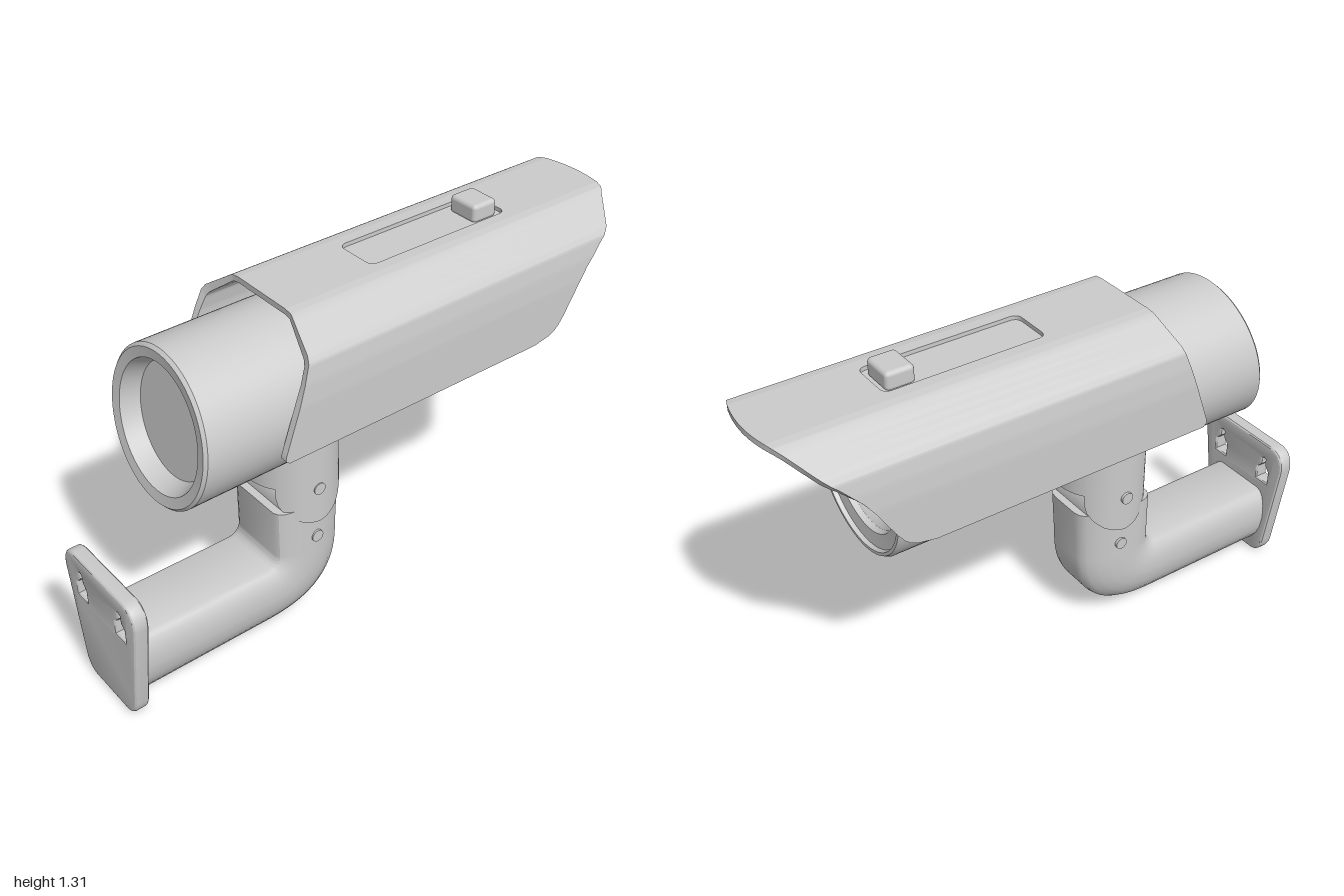
import * as THREE from 'three';
import { toCreasedNormals } from 'three/addons/utils/BufferGeometryUtils.js';
import { RoundedBoxGeometry } from 'three/addons/geometries/RoundedBoxGeometry.js';

const grey = new THREE.MeshStandardMaterial({ color: 0xcccccc });
const lerp = THREE.MathUtils.lerp;

function add(group, name, geometry, x = 0, y = 0, z = 0) {
  const mesh = new THREE.Mesh(geometry, grey);
  mesh.name = name;
  mesh.position.set(x, y, z);
  group.add(mesh);
  return mesh;
}

// Skins a list of closed rings of points; ends are capped unless looped
function loft(rings, loop = false, crease = 0.6) {
  const tris = [];
  const n = rings[0].length;
  const count = loop ? rings.length : rings.length - 1;
  for (let i = 0; i < count; i++) {
    const a = rings[i], b = rings[(i + 1) % rings.length];
    for (let j = 0; j < n; j++) {
      const k = (j + 1) % n;
      tris.push([a[j], b[j], b[k]], [a[j], b[k], a[k]]);
    }
  }
  if (!loop) {
    const a = rings[0], b = rings[rings.length - 1];
    for (let j = 1; j < n - 1; j++) tris.push([a[0], a[j], a[j + 1]], [b[0], b[j + 1], b[j]]);
  }
  // Turn the faces outward whichever way the rings run
  let volume = 0;
  for (const [p, q, r] of tris) volume += p.dot(q.clone().cross(r));
  if (volume < 0) tris.forEach((t) => t.reverse());
  const g = new THREE.BufferGeometry().setFromPoints(tris.flat());
  g.computeVertexNormals();
  return toCreasedNormals(g, crease);
}

// Piecewise linear lookup in [[in, out], ...]
function lookup(knots, v) {
  for (let i = 1; i < knots.length; i++) {
    const [a, fa] = knots[i - 1], [b, fb] = knots[i];
    if (v <= b) return lerp(fa, fb, Math.max(0, (v - a) / (b - a)));
  }
  return knots[knots.length - 1][1];
}

function roundedRect(path, x0, y0, x1, y1, r) {
  path.moveTo(x0 + r, y0);
  path.lineTo(x1 - r, y0); path.quadraticCurveTo(x1, y0, x1, y0 + r);
  path.lineTo(x1, y1 - r); path.quadraticCurveTo(x1, y1, x1 - r, y1);
  path.lineTo(x0 + r, y1); path.quadraticCurveTo(x0, y1, x0, y1 - r);
  path.lineTo(x0, y0 + r); path.quadraticCurveTo(x0, y0, x0 + r, y0);
  return path;
}

// Housing: rear recess, barrel with seam, front rim and stepped lens as [radius, x]
function housingGeometry() {
  const profile = [
    [0, -0.675], [0.19, -0.675], [0.215, -0.735], [0.25, -0.74], [0.26, -0.73],
    [0.26, 0.228], [0.25, 0.23], [0.25, 0.242], [0.26, 0.244], [0.26, 0.65], [0.253, 0.665],
    [0.242, 0.665], [0.238, 0.65], [0.19, 0.645], [0.184, 0.625], [0.165, 0.61], [0.15, 0.575],
    [0.137, 0.555], [0.135, 0.54], [0.115, 0.53], [0.11, 0.505], [0.092, 0.495],
    [0.088, 0.475], [0.07, 0.468], [0.065, 0.455], [0, 0.455],
  ].map(([r, x]) => new THREE.Vector2(r, x));
  const g = new THREE.LatheGeometry(profile, 72).rotateZ(-Math.PI / 2);
  // Slant the rear end
  const p = g.attributes.position;
  for (let i = 0; i < p.count; i++) {
    if (p.getX(i) < -0.5) p.setX(i, p.getX(i) + p.getY(i) * 0.135);
  }
  g.computeVertexNormals();
  return toCreasedNormals(g, 0.5);
}

// One folded side of the sunshield, s = +1 or -1
function shieldSideGeometry(s) {
  // outer z, outer y, inner z, inner y
  const keys = [
    [0.291, 0.86, 0.267, 0.86], [0.291, 1.04, 0.267, 1.04], [0.286, 1.11, 0.264, 1.1],
    [0.277, 1.168, 0.255, 1.15], [0.262, 1.188, 0.243, 1.168], [0.15, 1.264, 0.143, 1.244],
    [0.12, 1.268, 0.12, 1.248],
  ];
  const front = [
    [0.86, 0.56], [0.87, 0.62], [0.89, 0.66], [0.93, 0.69], [0.98, 0.72], [1.03, 0.75],
    [1.08, 0.785], [1.15, 0.85], [1.2, 0.905], [1.25, 0.958], [1.264, 0.975], [1.268, 0.985],
  ];
  const rear = [[0.86, -0.465], [0.875, -0.48], [1.268, -0.34]];
  const rings = [];
  for (let i = 0; i < keys.length - 1; i++) {
    const steps = i === 0 ? 14 : 5;
    for (let j = i ? 1 : 0; j <= steps; j++) {
      const [zo, yo, zi, yi] = keys[i].map((v, k) => lerp(v, keys[i + 1][k], j / steps));
      const x0 = lookup(rear, yo), x1 = lookup(front, yo);
      rings.push([[x0, yo, zo], [x1, yo, zo], [x1, yi, zi], [x0, yi, zi]]
        .map(([x, y, z]) => new THREE.Vector3(x, y, z * s)));
    }
  }
  return loft(rings);
}

// Flat top of the sunshield with the slider slot
function shieldTopGeometry() {
  const shape = new THREE.Shape();
  shape.moveTo(-0.34, -0.12);
  shape.lineTo(0.985, -0.12);
  shape.quadraticCurveTo(1.015, 0, 0.985, 0.12);
  shape.lineTo(-0.34, 0.12);
  shape.holes.push(roundedRect(new THREE.Path(), 0.02, -0.08, 0.59, 0.08, 0.03));
  return new THREE.ExtrudeGeometry(shape, { depth: 0.02, bevelEnabled: false, curveSegments: 10 })
    .rotateX(-Math.PI / 2);
}

// Collar: hollow tube whose lower edge drops into a rounded lug on each side
function collarGeometry() {
  const edge = [[0, 0.445], [0.04, 0.452], [0.08, 0.47], [0.11, 0.5], [0.125, 0.53], [0.1295, 0.56]];
  const quarter = [0, 8, 16, 24, 31, 36.9, 37.3, 40, 45, 50, 56, 62, 68, 74, 80, 85];
  const degrees = [...quarter, 90, ...quarter.slice(1).reverse().map((d) => 180 - d)];
  const rings = [...degrees, ...degrees.map((d) => d + 180)].map((d) => {
    const t = THREE.MathUtils.degToRad(d), c = Math.cos(t), s = Math.sin(t);
    const dx = Math.abs(c) * 0.163;
    const low = dx > 0.1299 ? 0.6 : lookup(edge, dx);
    return [[0.163, 0.76], [0.163, low], [0.133, low], [0.133, 0.76]]
      .map(([r, y]) => new THREE.Vector3(r * c, y, r * s));
  });
  return loft(rings, true);
}

// Arm: section swept from the wall round the elbow and up
function armGeometry() {
  // [fraction from inner to outer wall, half width]
  const half = [[0, 0.1], [0.03, 0.118], [0.1, 0.132], [0.25, 0.142], [0.45, 0.145], [0.65, 0.137],
    [0.8, 0.122], [0.92, 0.1], [0.98, 0.08], [1, 0.055]];
  const section = [...half, ...half.map(([u, w]) => [u, -w]).reverse()];
  const stations = [[-0.96, 0.295, -0.96, 0.04], [-0.7, 0.293, -0.7, 0.04]]; // inner x,y  outer x,y
  for (let i = 0; i <= 18; i++) {
    const a = (i / 18) * Math.PI / 2, s = Math.sin(a), c = Math.cos(a);
    const bulge = 1 + 0.07 * Math.sin(2 * a) ** 2;
    stations.push([-0.44 + 0.04 * s, 0.33 - 0.04 * c, -0.44 + 0.315 * s * bulge, 0.33 - 0.29 * c * bulge]);
  }
  stations.push([-0.4, 0.51, -0.115, 0.51]);
  const rings = stations.map(([xi, yi, xo, yo]) => section.map(([u, z]) =>
    new THREE.Vector3(lerp(xi, xo, u), lerp(yi, yo, u), z)));
  return loft(rings, false, 0.5);
}

// Wall plate: tapered, with two keyholes
function plateGeometry() {
  const bevel = 0.012;
  const shape = new THREE.Shape();
  shape.moveTo(-0.09, bevel);
  shape.lineTo(0.09, bevel);
  shape.quadraticCurveTo(0.135, bevel, 0.144, 0.07);
  shape.lineTo(0.197, 0.42);
  shape.quadraticCurveTo(0.2, 0.49, 0.14, 0.49);
  shape.lineTo(-0.14, 0.49);
  shape.quadraticCurveTo(-0.2, 0.49, -0.197, 0.42);
  shape.lineTo(-0.144, 0.07);
  shape.quadraticCurveTo(-0.135, bevel, -0.09, bevel);
  for (const s of [1, -1]) {
    const keyhole = [[-0.038, 0.325], [0.038, 0.325], [0.038, 0.39], [0.02, 0.41], [0.018, 0.44],
      [0, 0.452], [-0.018, 0.44], [-0.02, 0.41], [-0.038, 0.39]];
    shape.holes.push(new THREE.Path(keyhole.map(([x, y]) => new THREE.Vector2(s * 0.115 + x, y))));
  }
  const g = new THREE.ExtrudeGeometry(shape, {
    depth: 0.055 - 2 * bevel, bevelThickness: bevel, bevelSize: bevel, bevelSegments: 3, curveSegments: 10,
  });
  return toCreasedNormals(g.translate(0, 0, bevel).rotateY(Math.PI / 2), 0.5);
}

export function createModel() {
  const model = new THREE.Group();
  model.name = 'securityCamera';
  const pivotX = -0.257;

  add(model, 'housing', housingGeometry(), 0, 0.95);

  const shield = new THREE.Group();
  shield.name = 'sunshield';
  model.add(shield);
  add(shield, 'shieldLeft', shieldSideGeometry(1));
  add(shield, 'shieldRight', shieldSideGeometry(-1));
  add(shield, 'shieldTop', shieldTopGeometry(), 0, 1.248);
  add(shield, 'slotFloor', new THREE.BoxGeometry(0.58, 0.006, 0.17), 0.305, 1.251);
  add(shield, 'sliderButton', new RoundedBoxGeometry(0.1, 0.065, 0.12, 3, 0.015), 0.52, 1.28);

  add(model, 'collar', collarGeometry(), pivotX);
  add(model, 'pivot', new THREE.CylinderGeometry(0.115, 0.115, 0.19, 40).rotateX(Math.PI / 2), pivotX, 0.5);
  add(model, 'arm', armGeometry());
  add(model, 'wallPlate', plateGeometry(), -1);

  // Screws on both sides of the joint
  for (const s of [1, -1]) {
    const screw = new THREE.CylinderGeometry(0.022, 0.022, 0.03, 20).rotateX(Math.PI / 2);
    add(model, 'collarScrew', screw, pivotX, 0.58, s > 0 ? 0.151 : -0.157);
    add(model, 'armScrew', screw, pivotX, 0.37, s * 0.135);
  }
  return model;
}
